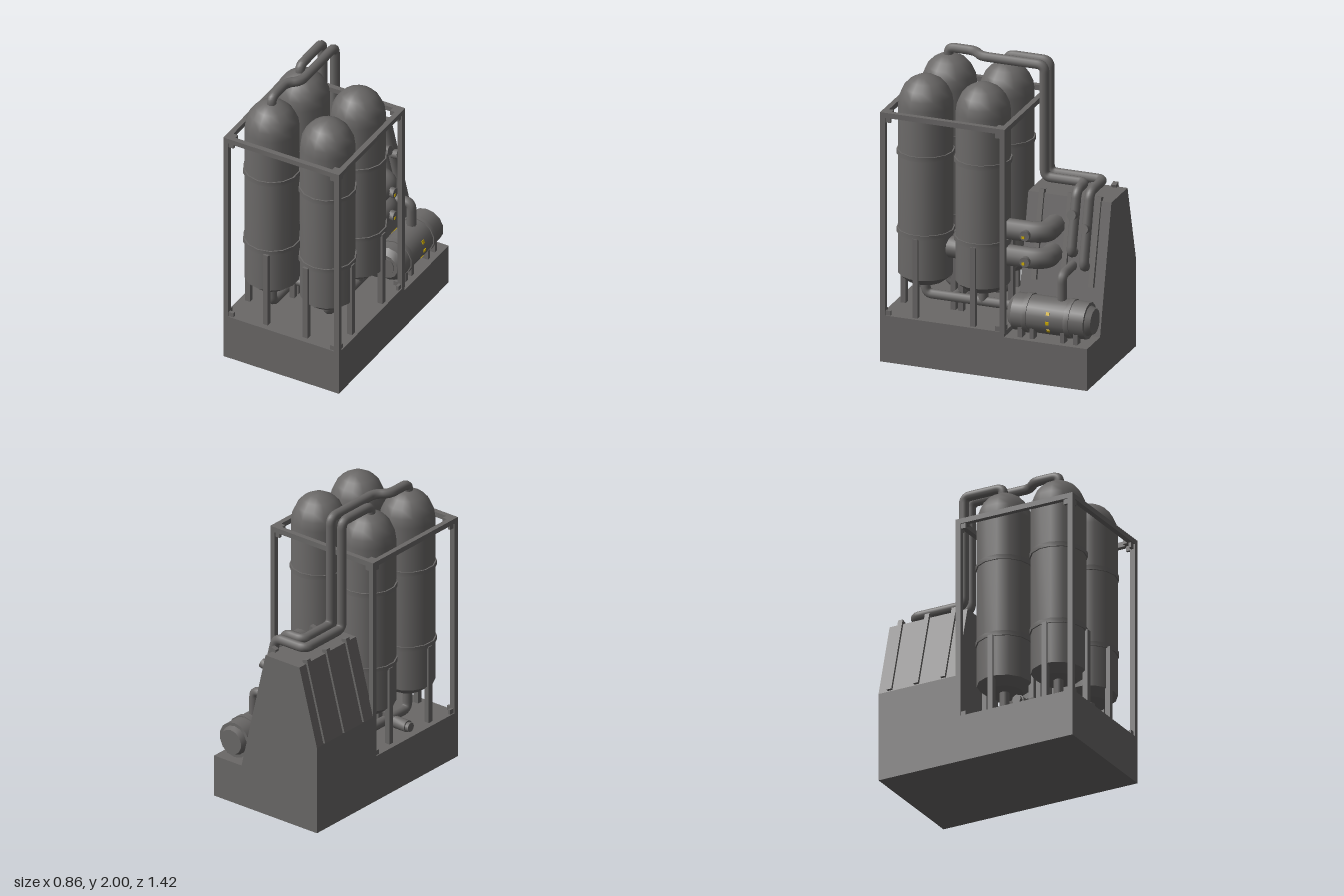
import * as THREE from 'three';
import { toCreasedNormals } from 'three/addons/utils/BufferGeometryUtils.js';

const steel = new THREE.MeshStandardMaterial({ color: 0x6a6867, side: THREE.DoubleSide });
steel.name = 'dark steel';
const yellow = new THREE.MeshStandardMaterial({ color: 0xd8b400 });
yellow.name = 'warning yellow';

const V = (a) => new THREE.Vector3(...a);

export function createModel() {
  const root = new THREE.Group();
  root.name = 'tankSkid';

  const add = (geo, name, parent = root, mat = steel) => {
    const m = new THREE.Mesh(geo, mat);
    m.name = name;
    parent.add(m);
    return m;
  };
  // Box given by its minimum and maximum corners
  const box = (name, a, b, parent = root) => {
    const m = add(new THREE.BoxGeometry(b[0] - a[0], b[1] - a[1], b[2] - a[2]), name, parent);
    m.position.set((a[0] + b[0]) / 2, (a[1] + b[1]) / 2, (a[2] + b[2]) / 2);
    return m;
  };
  const lathe = (pts, n = 12) => toCreasedNormals(
    new THREE.LatheGeometry(pts.map((p) => new THREE.Vector2(...p)), n), 0.65);
  // Straight round bar between two points
  const rod = (name, a, b, r, parent = root) => {
    const p = V(a), q = V(b), d = q.clone().sub(p);
    const m = add(toCreasedNormals(new THREE.CylinderGeometry(r, r, d.length(), 12), 0.7), name, parent);
    m.position.copy(p).add(q).multiplyScalar(0.5);
    m.quaternion.setFromUnitVectors(new THREE.Vector3(0, 1, 0), d.normalize());
    return m;
  };
  // Pipe along a polyline with rounded elbows
  const pipe = (name, list, r = 0.032, bend = 0.05) => {
    const p = list.map(V), path = new THREE.CurvePath();
    let last = p[0];
    for (let i = 1; i < p.length - 1; i++) {
      const inn = p[i - 1].clone().sub(p[i]), out = p[i + 1].clone().sub(p[i]);
      const a = p[i].clone().addScaledVector(inn.clone().normalize(), Math.min(bend, inn.length() * 0.45));
      const b = p[i].clone().addScaledVector(out.clone().normalize(), Math.min(bend, out.length() * 0.45));
      path.add(new THREE.LineCurve3(last, a));
      path.add(new THREE.QuadraticBezierCurve3(a, p[i], b));
      last = b;
    }
    path.add(new THREE.LineCurve3(last, p[p.length - 1]));
    return add(new THREE.TubeGeometry(path, 30 * p.length, r, 10), name);
  };

  // Base
  box('frontBase', [-0.425, 0, -0.14], [0.425, 0.32, 0.712]);
  box('rearBase', [-0.425, 0, -0.712], [0.425, 0.287, -0.14]);

  // Sloped rear housing
  const profile = new THREE.Shape([[-0.425, 0.28], [0.2, 0.28], [0, 1.14], [-0.28, 1.14], [-0.425, 0.61]]
    .map((p) => new THREE.Vector2(...p)));
  add(new THREE.ExtrudeGeometry(profile, { depth: 0.572, bevelEnabled: false }), 'housing').position.z = -0.712;

  // Ribs on both housing slopes
  const rib = (x1, y1, x2, y2, z) => {
    const m = add(new THREE.BoxGeometry(0.04, Math.hypot(x2 - x1, y2 - y1) + 0.03, 0.034), 'housingRib');
    m.position.set((x1 + x2) / 2, (y1 + y2) / 2 + 0.01, z);
    m.rotation.z = -Math.atan2(x2 - x1, y2 - y1);
  };
  for (const z of [-0.235, -0.432, -0.628]) {
    rib(-0.415, 0.62, -0.273, 1.14, z);
    rib(0.13, 0.6, -0.006, 1.14, z);
  }

  // Open frame with corner gussets
  const frame = new THREE.Group();
  frame.name = 'frame';
  root.add(frame);
  const t = 0.035, X = 0.425, Z0 = -0.145, Z1 = 0.712, top = 1.712, g = 0.034;
  for (const s of [-1, 1]) {
    const xa = s < 0 ? -X : X - t;
    box('sideBeam', [xa, top - t, Z0], [xa + t, top, Z1], frame);
    for (const z of [Z0, Z1 - t]) {
      box('post', [xa, 0.31, z], [xa + t, top, z + t], frame);
      const gx = s < 0 ? xa + t : xa - g, gz = z === Z0 ? z + t : z - g;
      box('gusset', [gx, top - t, gz], [gx + g, top, gz + g], frame);
      for (const y of [0.31, top - t - g]) {
        box('gusset', [gx, y, z + 0.008], [gx + g, y + g + 0.008, z + t - 0.008], frame);
        box('gusset', [xa + 0.008, y, gz], [xa + t - 0.008, y + g + 0.008, gz + g], frame);
      }
    }
  }
  for (const z of [Z0, Z1 - t]) box('crossBeam', [-X, top - t, z], [X, top, z + t], frame);

  // Four tanks with bands, legs and bottom nozzles
  const r = 0.179, tankPts = [[0, 0.525], [0.12, 0.525], [r, 0.575], [r, 1.73]];
  for (let i = 1; i <= 5; i++) {
    const a = (i / 5) * Math.PI / 2;
    tankPts.push([i === 5 ? 0 : r * Math.cos(a), 1.73 + 0.197 * Math.sin(a)]);
  }
  const LX = -0.197, RX = 0.212, ZF = 0.482, ZB = 0.086;
  for (const x of [LX, RX]) for (const z of [ZF, ZB]) {
    const tank = new THREE.Group();
    tank.name = 'tank';
    tank.position.set(x, 0, z);
    root.add(tank);
    add(lathe(tankPts, 14), 'tankShell', tank);
    for (const y of [0.87, 1.408]) {
      add(lathe([[0.17, y - 0.016], [0.188, y - 0.016], [0.188, y + 0.016], [0.17, y + 0.016]], 14), 'tankBand', tank);
    }
    const s = Math.sign(x), w = 0.018;
    for (const [lx, lz] of [[s * 0.172, 0], [-s * 0.058, 0.172], [-s * 0.058, -0.172]]) {
      box('tankLeg', [lx - w, 0.31, lz - w], [lx + w, 0.862, lz + w], tank);
    }
  }

  // Pipes over the tank tops, down behind and over the housing
  pipe('frontTopPipe', [[LX, 1.88, ZF + 0.005], [LX, 1.967, ZF + 0.005], [LX, 1.967, 0.3], [-0.123, 1.967, 0.235],
    [-0.123, 1.967, -0.203], [-0.123, 1.203, -0.203], [-0.123, 1.203, -0.484], [0.025, 1.203, -0.484],
    [0.125, 0.8, -0.484], [0.05, 0.8, -0.484]]);
  pipe('rearTopPipe', [[-0.215, 1.88, ZB], [-0.215, 1.967, ZB], [-0.215, 1.967, -0.203], [-0.215, 1.203, -0.203],
    [-0.215, 1.203, -0.574], [0.025, 1.203, -0.574], [0.14, 0.72, -0.574], [0.05, 0.72, -0.574]]);
  rod('pipeValve', [0.05, 1.05, -0.484], [0.125, 1.066, -0.484], 0.032);
  rod('pipeValve', [0.07, 0.972, -0.574], [0.14, 0.988, -0.574], 0.032);

  // Wide elbows from the rear tank into the housing
  for (const y of [0.95, 0.77]) {
    pipe('wideElbow', [[RX, y, 0], [RX, y, -0.34], [0.02, y, -0.34]], 0.07, 0.11);
    rod('elbowValve', [0.25, y, -0.232], [0.305, y, -0.232], 0.034);
    const m = add(new THREE.BoxGeometry(0.004, 0.018, 0.018), 'valveMark', root, yellow);
    m.position.set(0.306, y - 0.01, -0.224);
  }
  rod('tankLink', [RX, 0.77, ZB + 0.1], [RX, 0.77, ZF - 0.1], 0.072);

  // Bottom pipework
  pipe('rightManifold', [[RX, 0.54, ZF], [RX, 0.427, ZF], [RX, 0.427, -0.16]]);
  rod('rightNozzle', [RX, 0.54, ZB], [RX, 0.427, ZB], 0.032);
  pipe('leftManifold', [[LX, 0.54, ZF], [LX, 0.362, ZF], [LX, 0.362, ZB], [LX, 0.54, ZB]]);
  pipe('crossPipe', [[LX, 0.36, 0.28], [LX, 0.43, 0.28], [RX, 0.43, 0.28]]);
  rod('drainStub', [LX, 0.362, 0.28], [-0.39, 0.362, 0.28], 0.031);
  rod('drainFlange', [-0.26, 0.362, 0.28], [-0.365, 0.362, 0.28], 0.04);

  // Horizontal pump vessel, its axis along z
  const pump = new THREE.Group();
  pump.name = 'pump';
  pump.position.set(0.287, 0.427, -0.425);
  root.add(pump);
  const shell = add(lathe([[0, -0.287], [0.085, -0.287], [0.1, -0.25], [0.122, -0.25], [0.122, 0.25],
    [0.085, 0.285], [0.085, 0.28], [0.06, 0.28], [0.06, 0.287], [0, 0.287]], 14), 'pumpShell', pump);
  shell.rotation.x = Math.PI / 2;
  for (const z of [-0.132, 0.16]) {
    const b = add(lathe([[0.11, -0.017], [0.13, -0.017], [0.13, 0.017], [0.11, 0.017]], 14), 'pumpBand', pump);
    b.rotation.x = Math.PI / 2;
    b.position.z = z;
  }
  for (const z of [-0.19, -0.1, 0.11, 0.19]) {
    for (const x of [-0.07, 0.07]) box('pumpFoot', [x - 0.03, -0.145, z - 0.015], [x + 0.03, -0.07, z + 0.015], pump);
  }
  for (const [deg, size] of [[147, 0.036], [25, 0.022], [-5, 0.022], [-34, 0.022]]) {
    const a = deg * Math.PI / 180;
    const m = add(new THREE.BoxGeometry(0.006, size, size), 'warningMark', pump, yellow);
    m.position.set(0.122 * Math.cos(a), 0.122 * Math.sin(a), -0.005);
    m.rotation.z = a;
  }
  pipe('pumpPipe', [[0.08, 0.712, -0.484], [0.282, 0.712, -0.484], [0.282, 0.53, -0.484]]);

  return root;
}
